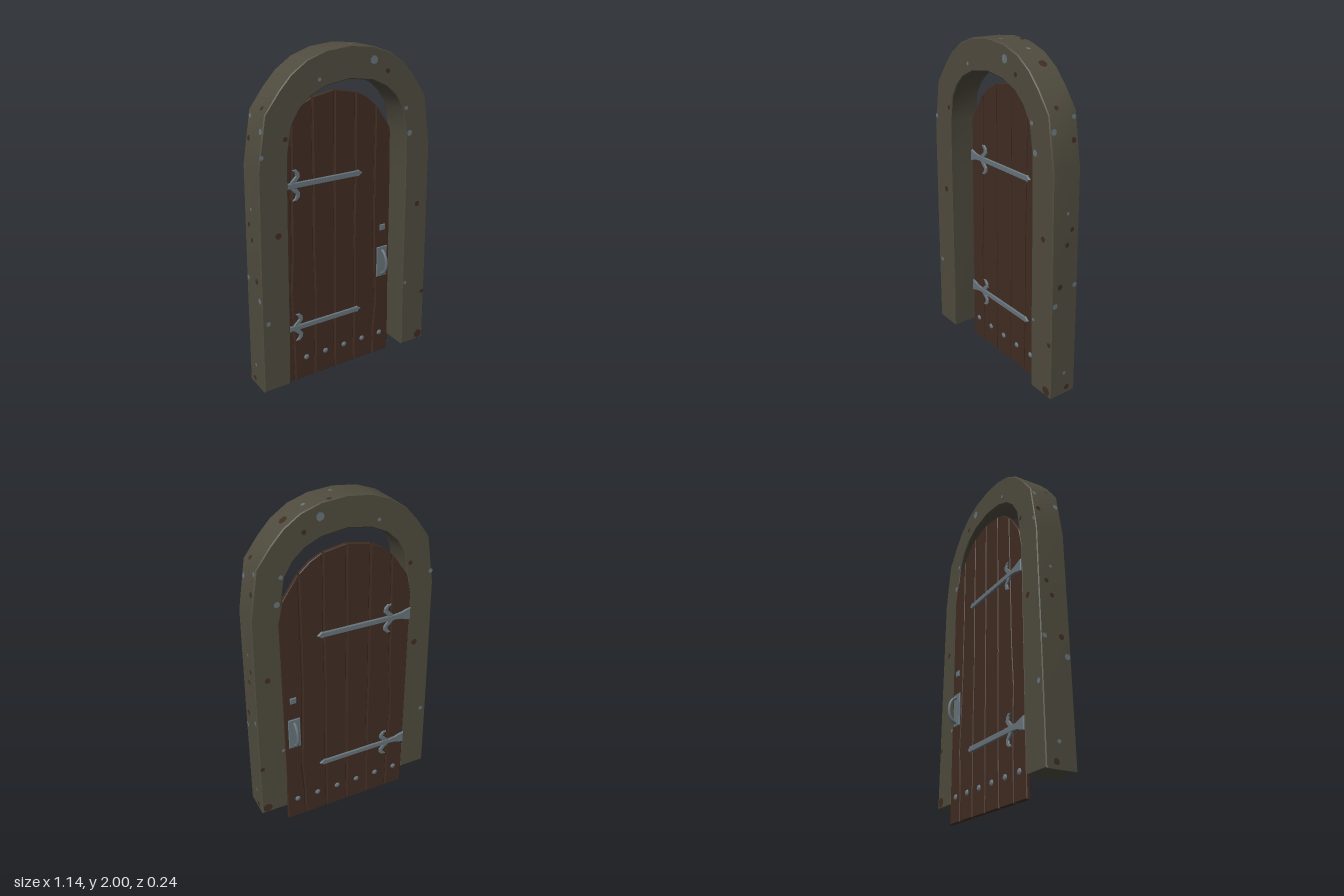
import * as THREE from 'three';
import { toCreasedNormals } from 'three/addons/utils/BufferGeometryUtils.js';

const material = (name, color) => Object.assign(new THREE.MeshStandardMaterial({ color }), { name });
const V = (list) => list.map(([x, y]) => new THREE.Vector2(x, y));
const mirrorArch = (half) => [...half, ...half.slice(0, -1).reverse().map(([x, y]) => [-x, y])];

// Arch profiles on the +x side, from the foot to the crown
const OUTER = [[0.567, 0.11], [0.558, 0.75], [0.545, 1.42], [0.498, 1.7], [0.415, 1.81], [0.345, 1.885],
  [0.252, 1.948], [0.14, 1.986], [0, 2]];
const INNER = [[0.4, 0.11], [0.392, 0.4], [0.383, 1.2], [0.376, 1.48], [0.35, 1.63], [0.3, 1.71], [0.235, 1.767],
  [0.14, 1.81], [0, 1.83]];
const DOOR_TOP = [[-0.4, 1.38], [-0.372, 1.5], [-0.28, 1.63], [-0.21, 1.69], [-0.14, 1.725], [0, 1.75],
  [0.14, 1.725], [0.21, 1.69], [0.28, 1.63], [0.372, 1.5], [0.4, 1.38]];

// Wavy gaps between planks: x at each height in GAP_Y
const GAP_Y = [0, 0.2, 0.4, 0.6, 0.85, 1.2, 1.55];
const GAPS = [
  [-0.285, -0.285, -0.29, -0.296, -0.284, -0.277, -0.272],
  [-0.143, -0.141, -0.138, -0.139, -0.142, -0.141, -0.139],
  [0, -0.002, -0.001, 0.001, 0, -0.001, 0],
  [0.138, 0.138, 0.141, 0.138, 0.136, 0.138, 0.139],
  [0.281, 0.285, 0.297, 0.287, 0.276, 0.275, 0.274],
];
const DOOR_Z = -0.048;
const DOOR_HALF = 0.012;

function lerpTable(points, x) {
  let i = 0;
  while (i < points.length - 2 && x > points[i + 1][0]) i++;
  const [a, b] = [points[i], points[i + 1]];
  return a[1] + (b[1] - a[1]) * (x - a[0]) / (b[0] - a[0]);
}

// Bevelled slab that keeps the outline size, spanning z0 to z1
function slab(points, z0, z1, bevel) {
  const g = new THREE.ExtrudeGeometry(new THREE.Shape(V(points)), {
    depth: z1 - z0 - 2 * bevel, bevelEnabled: true, bevelSize: bevel, bevelThickness: bevel,
    bevelOffset: -bevel, bevelSegments: 1,
  });
  return g.translate(0, 0, z0 + bevel);
}

function plank(index) {
  const edge = (gap, sign, outside) => GAP_Y.map((y, i) =>
    [gap ? gap[i] + sign * (0.003 + 0.002 * ((i + index) % 2)) : outside, y]);
  const left = edge(GAPS[index - 1], 1, -0.4);
  const right = edge(GAPS[index], -1, 0.4);
  const outline = [];
  const addSide = (side) => side.map(([x, y]) => [x, y]).filter(([x, y]) => y < lerpTable(DOOR_TOP, x) - 0.02);
  const xl = left[6][0], xr = right[6][0];
  outline.push(...addSide(right), [xr, lerpTable(DOOR_TOP, xr)]);
  for (const p of [...DOOR_TOP].reverse()) if (p[0] > xl + 0.008 && p[0] < xr - 0.008) outline.push(p);
  outline.push([xl, lerpTable(DOOR_TOP, xl)], ...addSide(left).reverse());
  return slab(outline, DOOR_Z - DOOR_HALF, DOOR_Z + DOOR_HALF, 0.004);
}

export function createModel() {
  const stone = material('olive stone', 0x4f4b3e);
  const wood = material('dark wood', 0x402c22);
  const iron = material('grey iron', 0x66737a);
  const root = new THREE.Group();
  root.name = 'archedDoor';
  const add = (parent, name, geometry, mat) => {
    const mesh = new THREE.Mesh(geometry, mat);
    mesh.name = name;
    parent.add(mesh);
    return mesh;
  };
  const group = (parent, name) => {
    const g = new THREE.Group();
    g.name = name;
    parent.add(g);
    return g;
  };

  // Stone arch
  const frameOutline = [...mirrorArch(OUTER), ...mirrorArch(INNER).reverse()];
  add(root, 'archFrame', toCreasedNormals(slab(frameOutline, -0.058, 0.118, 0.005), 0.5), stone);

  // Flecks on the front and back of the arch: x, y, radius, material
  const flecks = group(root, 'frameFlecks');
  const faceFlecks = [
    [-0.445, 1.05, 0.019, wood], [0.477, 1.05, 0.017, wood], [0.238, 1.85, 0.014, wood],
    [-0.388, 1.565, 0.014, wood], [0.545, 0.45, 0.015, wood], [0.53, 0.145, 0.03, wood],
    [0.148, 1.915, 0.024, iron], [-0.185, 1.845, 0.011, iron], [-0.525, 1.49, 0.014, iron],
    [-0.525, 0.545, 0.015, iron], [0.4, 1.49, 0.018, iron], [0.37, 1.635, 0.013, iron], [0.41, 0.545, 0.011, iron],
  ];
  for (const [x, y, r, mat] of faceFlecks) {
    add(flecks, 'frontFleck', new THREE.CircleGeometry(r, 7), mat).position.set(x, y, 0.1185);
    const back = add(flecks, 'backFleck', new THREE.CircleGeometry(r, 7), mat);
    back.position.set(x, y, -0.0585);
    back.rotation.y = Math.PI;
  }

  // Flecks on the outer edge: profile segment, fraction, z, radius, material, side
  const edgeFlecks = [
    [3, 0.2, 0.058, 0.014, wood], [2, 0.7, 0.095, 0.017, iron], [2, 0.9, -0.037, 0.013, iron],
    [2, 0.5, -0.026, 0.016, wood], [1, 0.66, 0.02, 0.01, iron], [1, 0.52, -0.01, 0.014, wood],
    [1, 0.4, 0.02, 0.014, wood], [1, 0.06, 0.064, 0.017, wood], [1, 0.04, -0.037, 0.015, iron],
    [0, 0.9, 0.095, 0.017, iron], [0, 0.21, 0.02, 0.011, iron], [0, 0.055, 0, 0.017, wood],
    [7, 0.36, -0.04, 0.015, wood, 1], [5, 0.3, 0.01, 0.024, wood, 1],
    [6, 0.4, 0.015, 0.012, iron, 1], [7, 0.74, 0.06, 0.01, iron, 1],
  ];
  for (const [seg, t, z, r, mat, only] of edgeFlecks) {
    for (const s of only ? [1] : [1, -1]) {
      const [a, b] = [OUTER[seg], OUTER[seg + 1]];
      const n = new THREE.Vector3(b[1] - a[1], a[0] - b[0], 0).normalize();
      const p = new THREE.Vector3(a[0] + (b[0] - a[0]) * t, a[1] + (b[1] - a[1]) * t, z).addScaledVector(n, 0.001);
      n.x *= s;
      p.x *= s;
      const fleck = add(flecks, 'edgeFleck', new THREE.CircleGeometry(r, 7), mat);
      fleck.position.copy(p);
      fleck.lookAt(p.clone().add(n));
    }
  }

  // Door leaf
  const door = group(root, 'doorLeaf');
  for (let i = 0; i < 6; i++) add(door, `plank${i + 1}`, plank(i), wood);

  // Strap hinge outline and its curled leaf
  const upperStrap = [[-0.4, 0.038], [-0.375, 0.034], [-0.34, 0.022], [-0.3, 0.017], [0.145, 0.017],
    [0.155, 0.021], [0.183, 0]];
  const strap = [...upperStrap, ...upperStrap.slice(0, -1).reverse().map(([x, y]) => [x, -y])].reverse();
  const leaf = [[-0.295, 0.012], [-0.255, 0.012], [-0.228, 0.045], [-0.23, 0.07], [-0.25, 0.09], [-0.275, 0.088],
    [-0.258, 0.07], [-0.254, 0.052], [-0.27, 0.038]];
  const arc = new THREE.CatmullRomCurve3([[0.568, 0.008], [0.585, 0.034], [0.615, 0.05], [0.647, 0.054],
    [0.679, 0.05], [0.709, 0.034], [0.726, 0.008]].map(([y, z]) => new THREE.Vector3(0.338, y, z)));

  // Ironwork for one face, built outwards along +z from the wood
  function ironwork(name) {
    const g = group(root, name);
    for (const y of [1.255, 0.368]) {
      const hinge = group(g, 'strapHinge');
      hinge.position.y = y;
      add(hinge, 'strap', slab(strap, -0.002, 0.012, 0.004), iron);
      add(hinge, 'upperLeaf', slab(leaf, -0.002, 0.01, 0.003), iron);
      add(hinge, 'lowerLeaf', slab(leaf.map(([x, v]) => [x, -v]).reverse(), -0.002, 0.01, 0.003), iron);
    }
    for (let i = 0; i < 6; i++) {
      const stud = add(g, 'stud', new THREE.SphereGeometry(0.018, 10, 4, 0, Math.PI * 2, 0, Math.PI / 2), iron);
      stud.rotation.x = Math.PI / 2;
      stud.scale.y = 0.55;
      stud.position.set(-0.34 + i * 0.135, 0.14, 0);
    }
    const box = (cx, cy, w, h) => [[cx - w, cy - h], [cx + w, cy - h], [cx + w, cy + h], [cx - w, cy + h]];
    add(g, 'lockPlate', slab(box(0.338, 0.878, 0.019, 0.019), -0.002, 0.009, 0.003), iron);
    add(g, 'handlePlate', slab(box(0.338, 0.65, 0.037, 0.1), -0.002, 0.009, 0.003), iron);
    add(g, 'handle', new THREE.TubeGeometry(arc, 20, 0.0095, 8), iron);
    return g;
  }
  ironwork('frontIronwork').position.z = DOOR_Z + DOOR_HALF;

  // Back face: turn around and reverse x so the hinges stay on the same side
  const back = ironwork('backIronwork');
  back.position.z = DOOR_Z - DOOR_HALF;
  back.scale.z = -1;
  return root;
}
